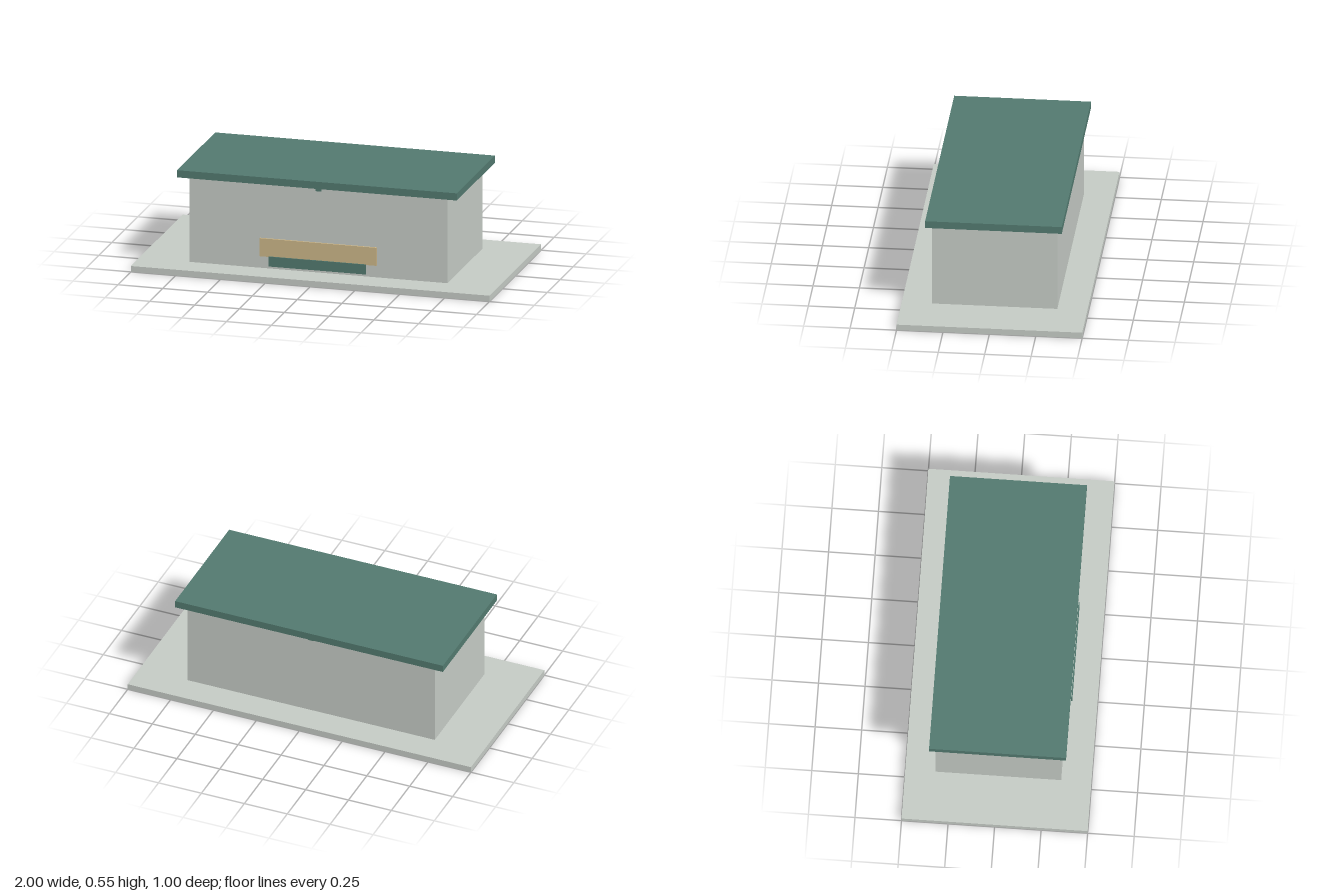
import * as THREE from 'three';

const material = (name, color) => {
  const m = new THREE.MeshStandardMaterial({ color });
  m.name = name;
  return m;
};

export function createModel() {
  const model = new THREE.Group();
  model.name = 'building';
  const stone = material('pale grey stone', 0xc4cac4);
  const green = material('muted green', 0x52796f);
  const tan = material('tan', 0xcbb587);

  // Box given by its extents: half width x, y range, z range
  const box = (name, mat, halfX, [y0, y1], [z0, z1]) => {
    const mesh = new THREE.Mesh(new THREE.BoxGeometry(2 * halfX, y1 - y0, z1 - z0), mat);
    mesh.position.set(0, (y0 + y1) / 2, (z0 + z1) / 2);
    mesh.name = name;
    model.add(mesh);
  };

  // Ground slab, walls and overhanging flat roof
  box('baseSlab', stone, 1, [0, 0.033], [-0.5, 0.5]);
  box('walls', stone, 0.72, [0.033, 0.509], [-0.338, 0.338]);
  box('roof', green, 0.78, [0.509, 0.549], [-0.368, 0.368]);

  // Crossed beams whose ends peek out under the eaves
  box('longBeam', green, 0.727, [0.489, 0.509], [-0.016, 0.016]);
  box('crossBeam', green, 0.016, [0.489, 0.509], [-0.345, 0.345]);

  // Front panel and the separate strip standing before it
  box('frontPanel', tan, 0.325, [0.1, 0.201], [0.338, 0.348]);
  box('frontStrip', green, 0.272, [0.052, 0.107], [0.359, 0.365]);

  return model;
}
